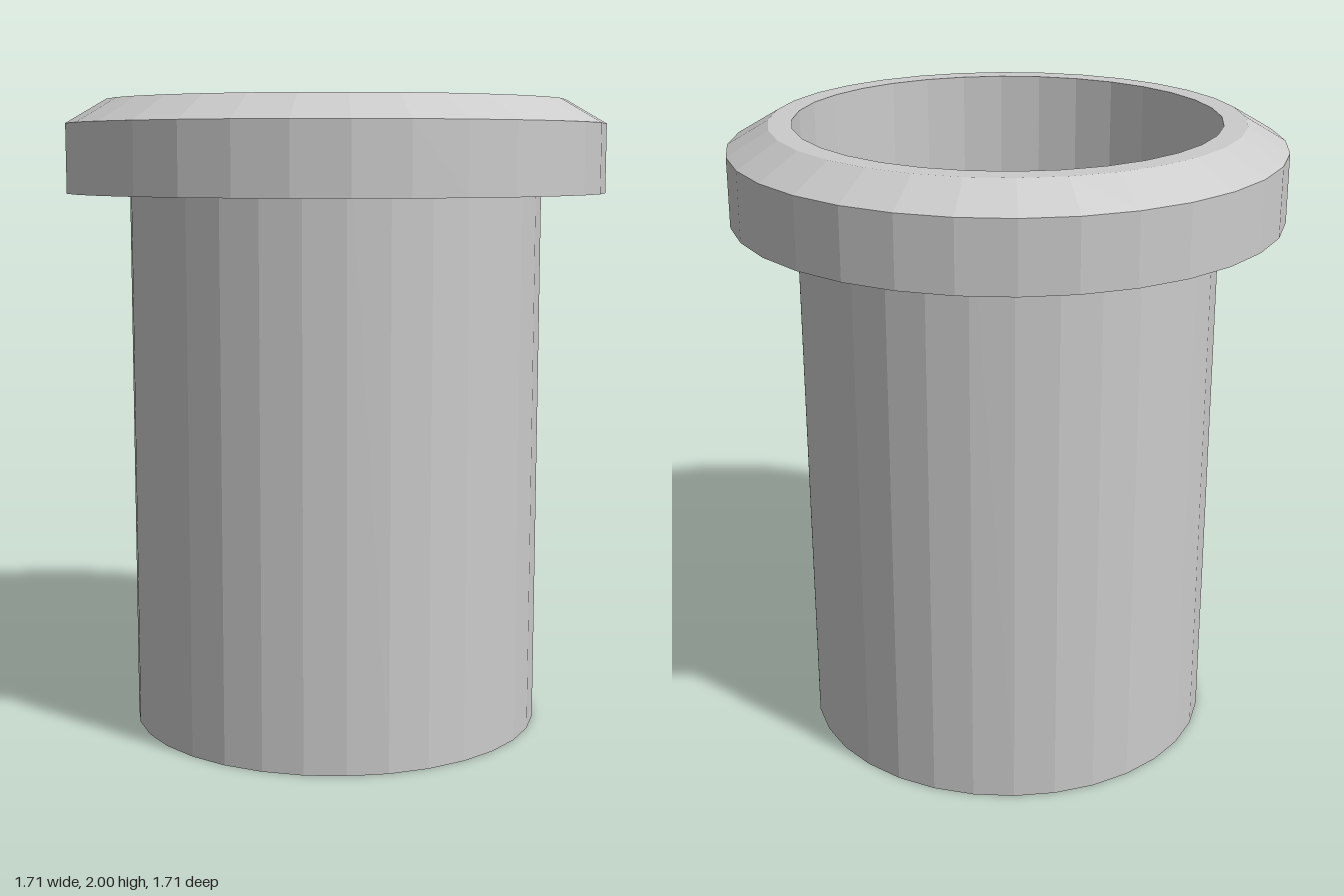
import * as THREE from 'three';

const SIDES = 32;
const TUBE_RADIUS = 0.655;
const HEIGHT = 2;

export function createModel() {
  const group = new THREE.Group();
  group.name = 'flangedTube';
  const material = new THREE.MeshStandardMaterial({
    color: 0xcccccc, flatShading: true, side: THREE.DoubleSide,
  });

  const addLathe = (name, profile) => {
    const points = profile.map(([r, y]) => new THREE.Vector2(r, y));
    const mesh = new THREE.Mesh(new THREE.LatheGeometry(points, SIDES), material);
    mesh.name = name;
    group.add(mesh);
  };

  // Thin-walled tube, open at the top
  addLathe('tubeWall', [[TUBE_RADIUS, 0], [TUBE_RADIUS, HEIGHT]]);

  // Closed bottom
  const bottom = new THREE.Mesh(new THREE.CircleGeometry(TUBE_RADIUS, SIDES), material);
  bottom.name = 'bottom';
  bottom.rotation.x = Math.PI / 2;
  group.add(bottom);

  // Hollow collar: skirt, bevel and flat lip, open underneath
  addLathe('collar', [[0.855, 1.71], [0.855, 1.925], [0.727, HEIGHT], [TUBE_RADIUS, HEIGHT]]);

  return group;
}
